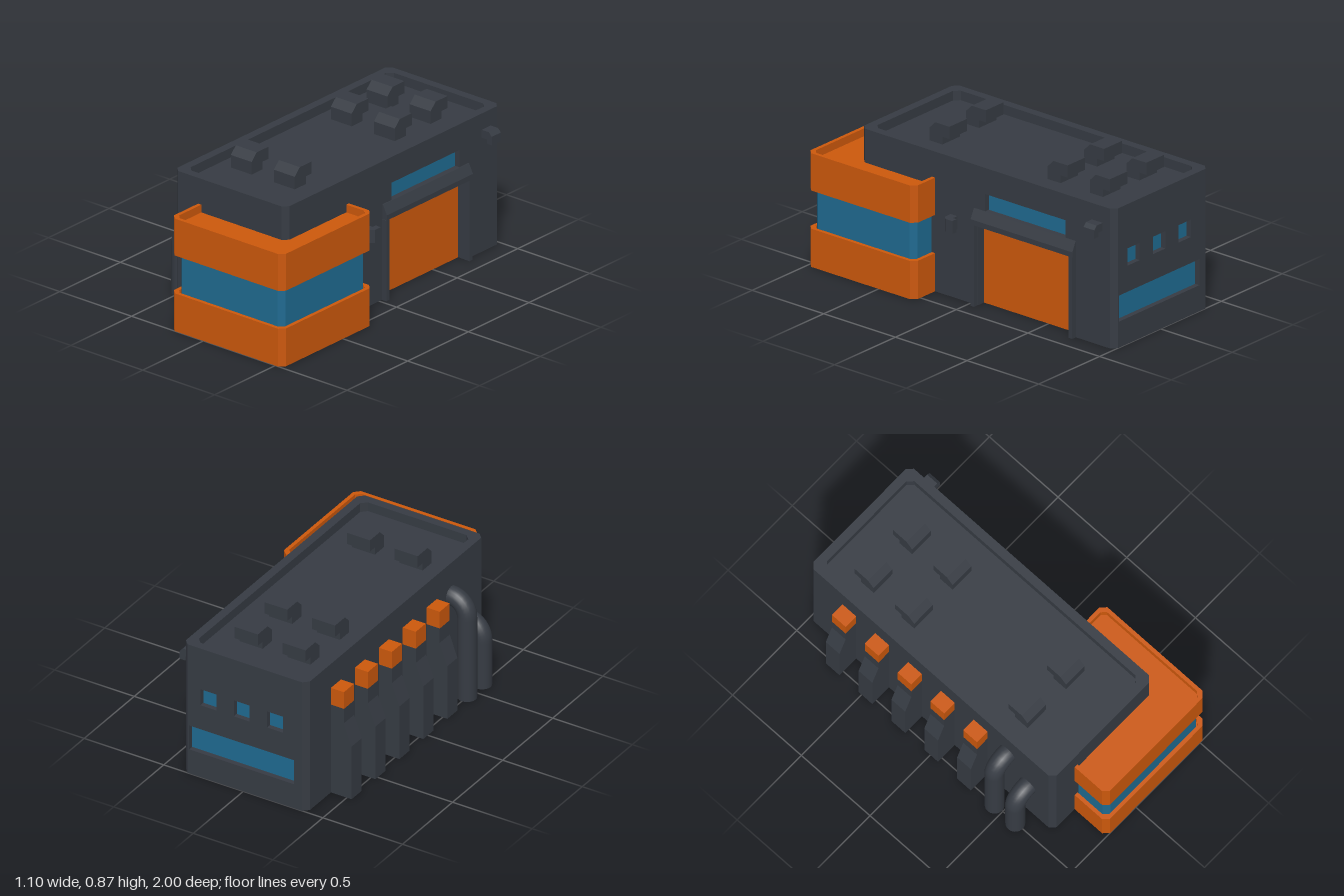
import * as THREE from 'three';

const mat = (color) => new THREE.MeshStandardMaterial({ color, side: THREE.DoubleSide, flatShading: true });
const dark = mat(0x363b43), orange = mat(0xcc580c), blue = mat(0x1f6a90);
const pipeMat = new THREE.MeshStandardMaterial({ color: 0x363b43, side: THREE.DoubleSide });

const V = (x, y, z) => new THREE.Vector3(x, y, z);

function add(parent, name, geometry, material, x = 0, y = 0, z = 0) {
  const m = new THREE.Mesh(geometry, material);
  m.name = name;
  m.position.set(x, y, z);
  parent.add(m);
  return m;
}

const poly = (pts) => new THREE.Shape(pts.map(([x, y]) => new THREE.Vector2(x, y)));
const extrude = (pts, depth) => new THREE.ExtrudeGeometry(poly(pts), { depth, bevelEnabled: false });

// Rectangle in plan with chamfered corners, counter-clockwise from above
const plan = (x0, x1, z0, z1, c) => [
  [x0 + c, z1], [x1 - c, z1], [x1, z1 - c], [x1, z0 + c],
  [x1 - c, z0], [x0 + c, z0], [x0, z0 + c], [x0, z1 - c],
];

// Faces between successive horizontal rings [plan, y], with optional end caps
function loft(rings, capStart, capEnd) {
  const pos = [];
  const at = ([p, y], j) => [p[j % p.length][0], y, p[j % p.length][1]];
  const n = rings[0][0].length;
  for (let i = 0; i < rings.length - 1; i++) {
    for (let j = 0; j < n; j++) {
      const a = at(rings[i], j), b = at(rings[i], j + 1);
      const c = at(rings[i + 1], j + 1), d = at(rings[i + 1], j);
      pos.push(...a, ...b, ...c, ...a, ...c, ...d);
    }
  }
  const last = rings[rings.length - 1];
  for (let j = 1; j < n - 1; j++) {
    if (capStart) pos.push(...at(rings[0], 0), ...at(rings[0], j + 1), ...at(rings[0], j));
    if (capEnd) pos.push(...at(last, 0), ...at(last, j), ...at(last, j + 1));
  }
  const g = new THREE.BufferGeometry();
  g.setAttribute('position', new THREE.Float32BufferAttribute(pos, 3));
  g.computeVertexNormals();
  return g;
}

// Recessed panel: four reveals (three when it reaches the ground) and a coloured back
function recess(parent, name, [u0, u1, v0, v1], depth, material) {
  const g = new THREE.Group();
  g.name = name;
  const w = u1 - u0, h = v1 - v0, u = (u0 + u1) / 2, v = (v0 + v1) / 2;
  for (const x of [u0, u1]) {
    add(g, 'reveal', new THREE.PlaneGeometry(depth, h), dark, x, v, -depth / 2).rotation.y = x === u0 ? Math.PI / 2 : -Math.PI / 2;
  }
  for (const y of v0 > 0 ? [v0, v1] : [v1]) {
    add(g, 'reveal', new THREE.PlaneGeometry(w, depth), dark, u, y, -depth / 2).rotation.x = y === v1 ? Math.PI / 2 : -Math.PI / 2;
  }
  add(g, 'panel', new THREE.PlaneGeometry(w, h), material, u, v, -depth);
  parent.add(g);
}

// Hooked hood: a stem along B with a head bent toward A, chamfered on the outer corner
function hood(parent, name, origin, A, B, size, width) {
  const pts = [[0, 0], [0.65, 0], [0.65, 0.5], [1, 0.5], [1, 1], [0.3, 1], [0, 0.7]];
  const g = extrude(pts.map(([a, b]) => [a * size, b * size]), width);
  g.applyMatrix4(new THREE.Matrix4().makeBasis(A, B, A.clone().cross(B)));
  add(parent, name, g, dark, origin.x, origin.y, origin.z);
}

export function createModel() {
  const model = new THREE.Group();
  model.name = 'building';

  // Main hall walls, one per edge of the plan; u runs along the edge, v is up
  const H = 0.805;
  const outer = plan(-0.4, 0.38, -1, 0.77, 0.03);
  const rightWindow = [0.84, 1.4, 0.555, 0.655];
  const door = [0.79, 1.45, 0, 0.47];
  const backWindows = [[0.01, 0.67, 0.15, 0.3]];
  for (const i of [-1, 0, 1]) backWindows.push([0.29 + i * 0.21, 0.39 + i * 0.21, 0.45, 0.55]);
  outer.forEach(([x, z], i) => {
    const [x2, z2] = outer[(i + 1) % 8];
    const L = Math.hypot(x2 - x, z2 - z);
    const wall = new THREE.Group();
    wall.name = 'wall';
    wall.position.set(x, 0, z);
    wall.rotation.y = Math.atan2(-(z2 - z), x2 - x);
    const isRight = i === 2;
    const windows = isRight ? [rightWindow] : i === 4 ? backWindows : [];
    const notch = isRight ? [[door[0], 0], [door[0], door[3]], [door[1], door[3]], [door[1], 0]] : [];
    const shape = poly([[0, 0], ...notch, [L, 0], [L, H], [0, H]]);
    for (const w of windows) {
      const [a, b, c, d] = w;
      shape.holes.push(poly([[a, c], [a, d], [b, d], [b, c]]));
      recess(wall, 'window', w, 0.03, blue);
    }
    if (isRight) recess(wall, 'door', door, 0.05, orange);
    add(wall, 'wallFace', new THREE.ShapeGeometry(shape), dark);
    model.add(wall);
  });

  // Parapet and sunken roof
  const inner = plan(-0.35, 0.33, -0.95, 0.72, 0.03);
  add(model, 'roof', loft([[outer, H], [inner, H], [inner, 0.75]], false, true), dark);

  // Door posts and sloped canopy
  for (const z of [-0.035, -0.72]) {
    add(model, 'doorPost', new THREE.BoxGeometry(0.03, 0.47, 0.025), dark, 0.395, 0.235, z);
  }
  add(model, 'doorCanopy', extrude([[0.38, 0.47], [0.412, 0.47], [0.412, 0.5], [0.385, 0.555], [0.38, 0.555]], 0.71),
    dark, 0, 0, -0.735);

  // Front block: two rimmed trays around a glazed band
  const block = plan(-0.23, 0.55, 0.25, 1, 0.03);
  const rim = plan(-0.208, 0.528, 0.272, 0.978, 0.025);
  for (const [y0, y1] of [[0, 0.22], [0.44, 0.655]]) {
    add(model, 'blockTray', loft([[block, y0], [block, y1], [rim, y1], [rim, y1 - 0.045]], true, true), orange);
  }
  const glass = plan(-0.2, 0.525, 0.275, 0.975, 0.03);
  add(model, 'blockGlazing', loft([[glass, 0.175], [glass, 0.44]]), blue);

  // Roof vents
  for (const x of [-0.265, 0.035]) {
    for (const z of [0.46, -0.365, -0.66]) {
      hood(model, 'roofVent', V(x, 0.725, z), V(0, 0, -1), V(0, 1, 0), 0.14, 0.145);
    }
  }

  // Small brackets on the right wall
  hood(model, 'upperBracket', V(0.38, 0.71, -0.92), V(0, -1, 0), V(1, 0, 0), 0.07, 0.075);
  hood(model, 'sideBracket', V(0.38, 0.475, 0.14), V(0, 0, -1), V(1, 0, 0), 0.07, 0.075);

  // Buttresses with coloured caps on the left wall
  const fin = [[-0.4, 0], [-0.53, 0], [-0.53, 0.33], [-0.482, 0.46], [-0.482, 0.55], [-0.4, 0.55]];
  for (let i = 0; i < 5; i++) {
    const z = 0.245 - i * 0.239;
    add(model, 'buttress', extrude(fin, 0.1), dark, 0, 0, z - 0.05);
    add(model, 'buttressCap', new THREE.BoxGeometry(0.082, 0.105, 0.1), orange, -0.441, 0.6025, z);
  }

  // Bent pipes from the ground into the left wall
  for (const [y, z] of [[0.605, 0.44], [0.385, 0.59]]) {
    const path = new THREE.CurvePath();
    path.add(new THREE.LineCurve3(V(-0.5, 0, z), V(-0.5, y - 0.1, z)));
    path.add(new THREE.CubicBezierCurve3(V(-0.5, y - 0.1, z), V(-0.5, y - 0.045, z), V(-0.455, y, z), V(-0.4, y, z)));
    add(model, 'pipe', new THREE.TubeGeometry(path, 32, 0.054, 20), pipeMat);
    add(model, 'pipeEnd', new THREE.CircleGeometry(0.054, 20), pipeMat, -0.5, 0, z).rotation.x = Math.PI / 2;
  }

  return model;
}
